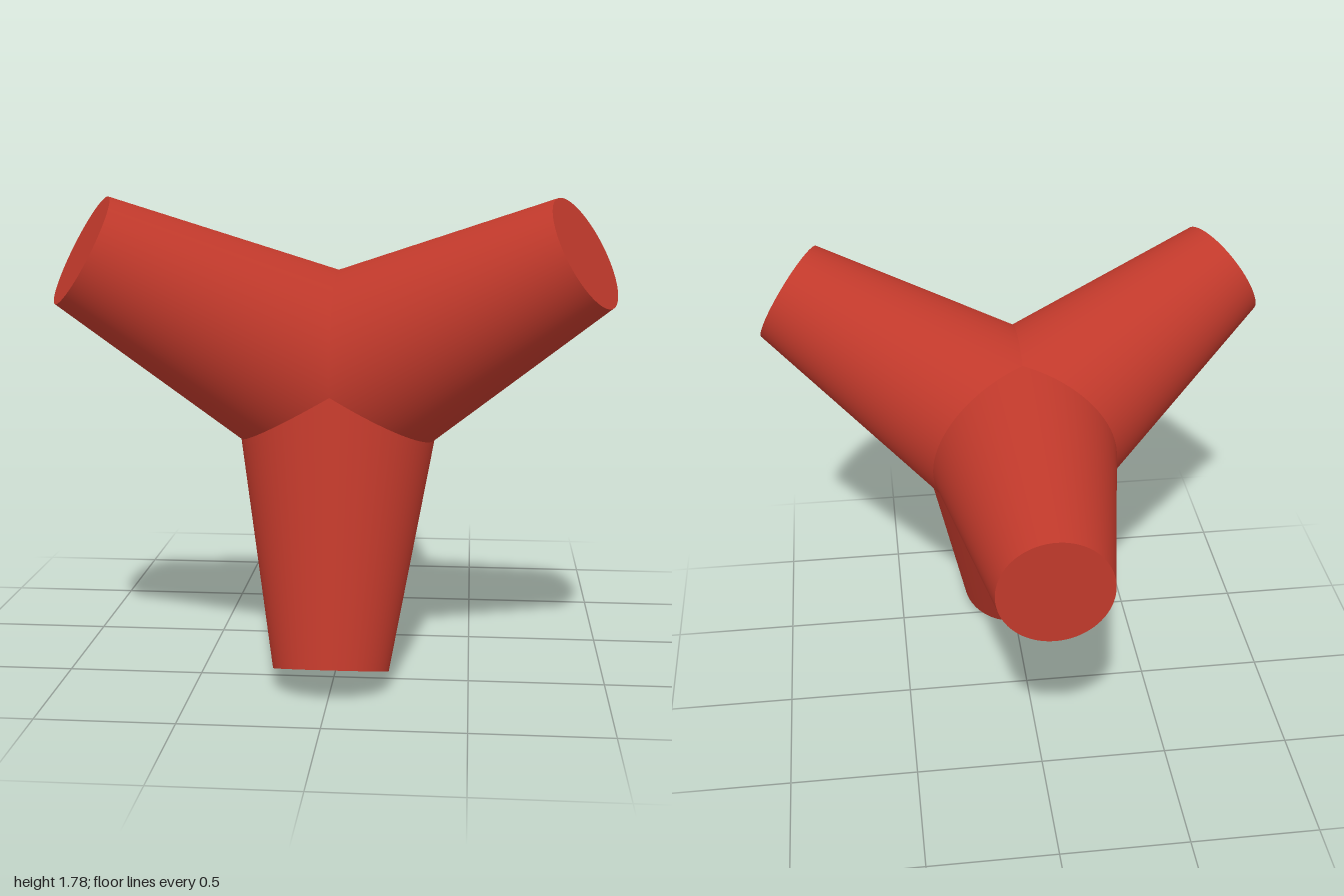
import * as THREE from 'three';
import { mergeGeometries } from 'three/addons/utils/BufferGeometryUtils.js';

const LENGTH = 1.075, TIP = 0.211, ROOT = 0.4, SEGMENTS = 96;
const CENTRE = new THREE.Vector3(0, 1.084, 0.259);

// One tapered leg along +y, its root mitred to meet three equal neighbours.
function legGeometry() {
  const side = new THREE.CylinderGeometry(TIP, ROOT, LENGTH, SEGMENTS, 1, true);
  side.translate(0, LENGTH / 2, 0);
  const taper = (ROOT - TIP) / LENGTH;
  const pos = side.attributes.position;
  for (let i = 0; i < pos.count; i++) {
    if (pos.getY(i) > LENGTH / 2) continue;
    const angle = Math.atan2(pos.getX(i), pos.getZ(i));
    // Nearest neighbour decides where this side line meets the mitre plane
    const nearest = Math.max(...[0, 1, 2].map(n => Math.cos(angle - n * Math.PI * 2 / 3)));
    const k = nearest * Math.sqrt(8) / 3;
    const y = k * ROOT / (4 / 3 + k * taper);
    const r = ROOT - taper * y;
    pos.setXYZ(i, r * Math.sin(angle), y, r * Math.cos(angle));
  }
  // Flat end
  const cap = new THREE.CircleGeometry(TIP, SEGMENTS);
  cap.rotateX(-Math.PI / 2).translate(0, LENGTH, 0);
  return mergeGeometries([side, cap]);
}

export function createModel() {
  const group = new THREE.Group();
  group.name = 'tetrapod';
  const material = new THREE.MeshStandardMaterial({ color: 0xc0392b });
  const geometry = legGeometry();

  // Four tetrahedral directions
  const s2 = Math.SQRT2, s6 = Math.sqrt(6);
  const legs = {
    backLeg: new THREE.Vector3(0, 0, -1),
    lowerLeg: new THREE.Vector3(0, -2 * s2 / 3, 1 / 3),
    upperLeftLeg: new THREE.Vector3(s6 / 3, s2 / 3, 1 / 3),
    upperRightLeg: new THREE.Vector3(-s6 / 3, s2 / 3, 1 / 3),
  };

  for (const [name, axis] of Object.entries(legs)) {
    // Turn local +z towards a neighbouring leg so the mitres line up
    const neighbour = name === 'backLeg' ? legs.lowerLeg : legs.backLeg;
    const z = neighbour.clone().addScaledVector(axis, -neighbour.dot(axis)).normalize();
    const x = new THREE.Vector3().crossVectors(axis, z);
    const leg = new THREE.Mesh(geometry, material);
    leg.name = name;
    leg.quaternion.setFromRotationMatrix(new THREE.Matrix4().makeBasis(x, axis, z));
    leg.position.copy(CENTRE);
    group.add(leg);
  }
  return group;
}
